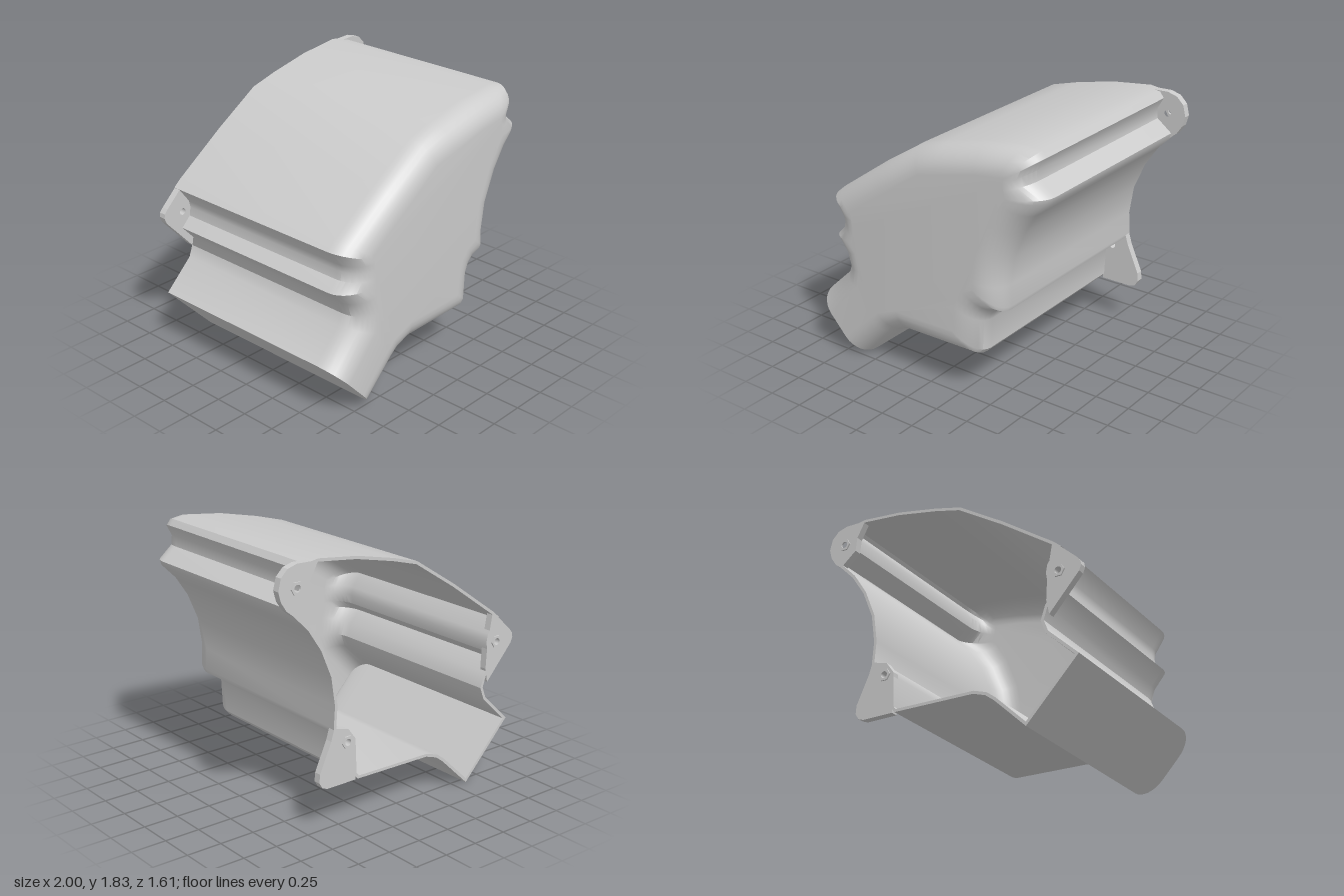
import * as THREE from 'three';
import { toCreasedNormals } from 'three/addons/utils/BufferGeometryUtils.js';

const BACK = -0.8, SHOULDER = 0.62, FRONT = 0.8, WALL = 0.02;

// Outline of the side wall, anticlockwise from the spout's lower corner
const OUTLINE = [
  [-0.6, 0], [-0.37, 0.22], [-0.31, 0.265], [-0.22, 0.295], [0.38, 0.305], [0.41, 0.34],
  [0.42, 0.56], [0.45, 0.62], [0.49, 0.65], [0.57, 0.67], [0.58, 0.7],
  [0.57, 0.85], [0.6, 1.05], [0.68, 1.24], [0.78, 1.39], [0.89, 1.5], [0.9, 1.535],
  [0.79, 1.62], [0.785, 1.69], [0.83, 1.77], [0.8, 1.81], [0.7, 1.825],
  [0.4, 1.79], [0.1, 1.725], [-0.1, 1.67], [-0.43, 1.46], [-0.8, 1.2], [-0.86, 1.15],
  [-0.78, 1.04], [-0.77, 0.99], [-0.78, 0.93], [-0.85, 0.86],
  [-0.76, 0.76], [-0.73, 0.67], [-0.76, 0.59], [-0.97, 0.39],
];

// Matching outline of the flat front face, inside the rounded edge
const FACE = [
  [-0.72, 0.125], [-0.49, 0.35], [-0.42, 0.41], [-0.25, 0.47], [0.22, 0.47], [0.23, 0.48],
  [0.24, 0.66], [0.27, 0.73], [0.32, 0.79], [0.39, 0.82], [0.4, 0.83],
  [0.4, 0.88], [0.43, 1.09], [0.53, 1.33], [0.62, 1.47], [0.65, 1.51], [0.65, 1.52],
  [0.64, 1.57], [0.63, 1.61], [0.635, 1.64], [0.63, 1.65], [0.6, 1.655],
  [0.42, 1.62], [0.13, 1.555], [-0.03, 1.51], [-0.34, 1.31], [-0.63, 1.1], [-0.64, 1.08],
  [-0.62, 1.04], [-0.61, 0.99], [-0.61, 0.93], [-0.63, 0.88],
  [-0.6, 0.8], [-0.57, 0.67], [-0.6, 0.54], [-0.85, 0.265],
];

// Moves a closed outline inward by d, with limited mitres
function inset(points, d) {
  const n = points.length;
  const inward = (a, b) => new THREE.Vector2(a[1] - b[1], b[0] - a[0]).normalize();
  return points.map((p, i) => {
    const u = inward(points[(i + n - 1) % n], p), v = inward(p, points[(i + 1) % n]);
    const m = u.clone().add(v).normalize();
    const s = d / Math.max(0.6, m.dot(u));
    return [p[0] + m.x * s, p[1] + m.y * s];
  });
}

// Rings running from the back edge round the shoulder to the front face
function skinRings(outline, face, front) {
  const rings = [outline.map(([x, y]) => [x, y, BACK])];
  const steps = 8;
  for (let k = 0; k <= steps; k++) {
    const t = (k / steps) * Math.PI / 2, f = 1 - Math.cos(t);
    const z = SHOULDER + (front - SHOULDER) * Math.sin(t);
    rings.push(outline.map(([x, y], i) =>
      [x + (face[i][0] - x) * f, y + (face[i][1] - y) * f, z]));
  }
  return rings;
}

// Hollow housing: inner skin, back rim and outer skin in one loft, plus front caps
function housingGeometry() {
  const inner = skinRings(inset(OUTLINE, WALL), inset(FACE, 0.003), FRONT - WALL);
  const rings = [...inner.reverse(), ...skinRings(OUTLINE, FACE, FRONT)];
  const n = OUTLINE.length, last = (rings.length - 1) * n;
  const index = [];
  for (let k = 0; k < rings.length - 1; k++) {
    for (let i = 0; i < n; i++) {
      const a = k * n + i, b = k * n + (i + 1) % n;
      index.push(a, b, b + n, a, b + n, a + n);
    }
  }
  const flat = FACE.map(([x, y]) => new THREE.Vector2(x, y));
  for (const [a, b, c] of THREE.ShapeUtils.triangulateShape(flat, [])) {
    index.push(last + a, last + b, last + c, a, c, b);
  }
  const geometry = new THREE.BufferGeometry();
  geometry.setAttribute('position', new THREE.Float32BufferAttribute(rings.flat(2), 3));
  geometry.setIndex(index);
  return toCreasedNormals(geometry, 0.6);
}

// Extruded plate with a round hole
function holedPlate(shape, x, y, radius, depth) {
  shape.holes.push(new THREE.Path().absarc(x, y, radius, 0, Math.PI * 2, true));
  return new THREE.ExtrudeGeometry(shape, { depth, bevelEnabled: false, curveSegments: 12 });
}

// Mounting lugs: plate outline and screw hole centre
const LUGS = [
  { name: 'upperLug', hole: [0.865, 1.67], points: [
    [0.7, 1.815], [0.86, 1.82], [0.93, 1.8], [0.98, 1.75], [1, 1.67], [0.98, 1.6],
    [0.94, 1.54], [0.89, 1.5], [0.77, 1.6], [0.76, 1.7]] },
  { name: 'lowerLug', hole: [0.47, 0.585], points: [
    [0.4, 0.305], [0.63, 0.305], [0.67, 0.32], [0.695, 0.36], [0.69, 0.42], [0.64, 0.53],
    [0.6, 0.62], [0.575, 0.7], [0.46, 0.67], [0.4, 0.59]] },
  { name: 'sideLug', hole: [-0.84, 0.98], points: [
    [-0.8, 1.2], [-0.97, 1.04], [-0.995, 1.01], [-1, 0.98], [-0.985, 0.94],
    [-0.77, 0.7], [-0.75, 0.8], [-0.76, 0.98]] },
];

export function createModel() {
  const group = new THREE.Group();
  const material = new THREE.MeshStandardMaterial({ color: 0xcccccc });
  const add = (name, geometry, z = 0) => {
    const mesh = new THREE.Mesh(geometry, material);
    mesh.name = name;
    mesh.position.z = z;
    group.add(mesh);
  };

  add('housing', housingGeometry());

  for (const { name, hole: [x, y], points } of LUGS) {
    const plate = new THREE.Shape(points.map(p => new THREE.Vector2(...p)));
    add(name, holedPlate(plate, x, y, 0.024, 0.05), BACK);

    // Hexagonal collar round the screw hole on the back
    const hex = new THREE.Shape();
    for (let i = 0; i < 6; i++) {
      const a = i * Math.PI / 3;
      hex[i ? 'lineTo' : 'moveTo'](x + 0.045 * Math.cos(a), y + 0.045 * Math.sin(a));
    }
    add(name + 'Collar', holedPlate(hex, x, y, 0.024, 0.012), BACK - 0.01);
  }
  return group;
}
